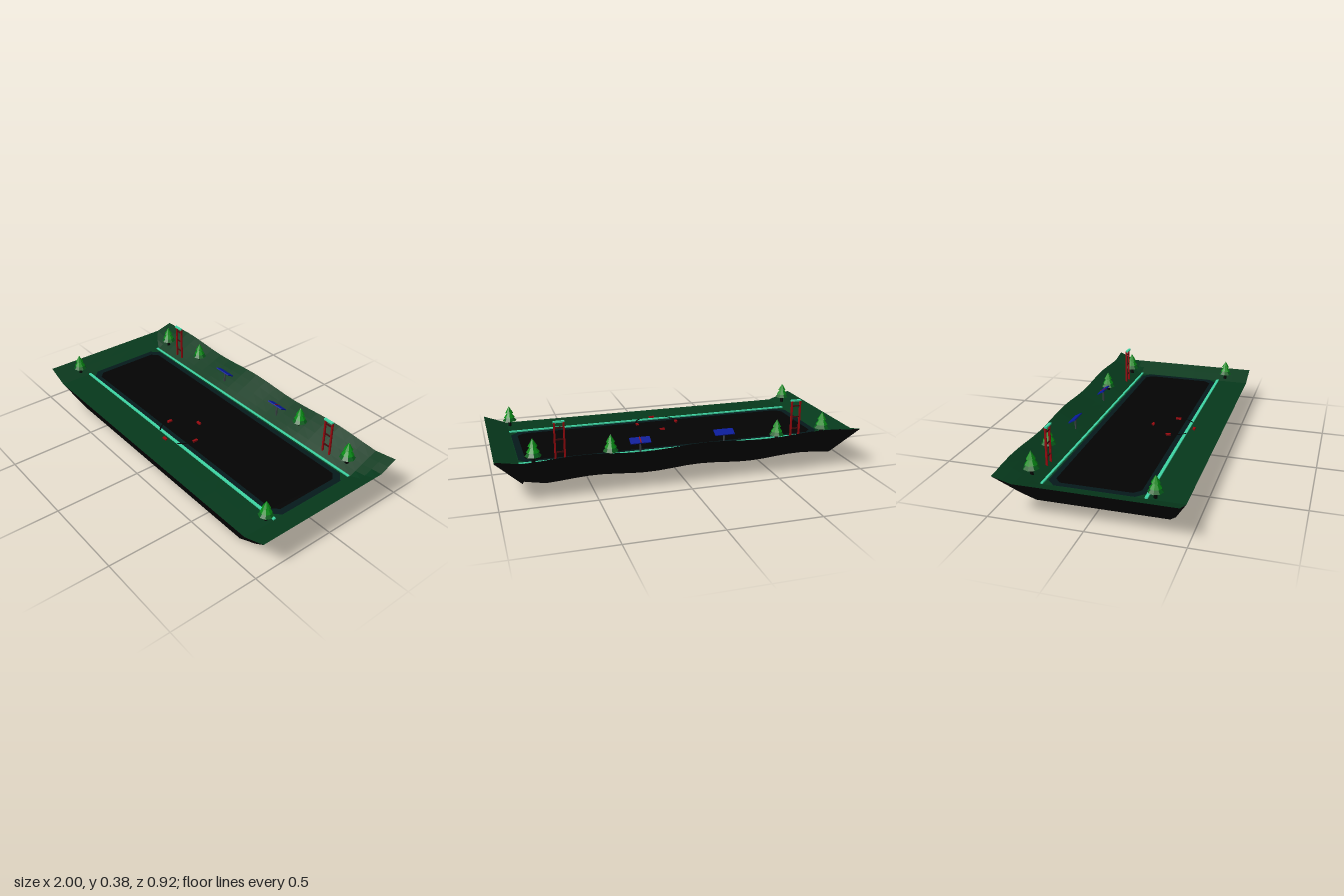
import * as THREE from 'three';

const mat = (name, color, side = THREE.FrontSide) => {
  const m = new THREE.MeshStandardMaterial({ color, side, flatShading: true });
  m.name = name;
  return m;
};

export function createModel() {
  const model = new THREE.Group();
  model.name = 'valleyTile';

  const ground = mat('ground green', 0x06391c, THREE.DoubleSide);
  const groundInside = mat('ground green inside', 0x06391c, THREE.BackSide);
  const black = mat('near black', 0x030303);
  const openBlack = mat('near black open', 0x030303, THREE.DoubleSide);
  const rim = mat('rim slate', 0x05191b, THREE.DoubleSide);
  const teal = mat('light strip teal', 0x3dd6a4);
  const red = mat('signal red', 0x98080e);
  const darkRed = mat('rung dark red', 0x400c0e);
  const blue = mat('panel blue', 0x061a9c);
  const leafDark = mat('lower leaf green', 0x055e1a);
  const leaf = mat('upper leaf green', 0x058a14);
  const grey = mat('post grey', 0x3c4248);

  const add = (parent, name, geo, material, x = 0, y = 0, z = 0) => {
    const mesh = new THREE.Mesh(geo, material);
    mesh.name = name;
    mesh.position.set(x, y, z);
    parent.add(mesh);
    return mesh;
  };
  const group = (name, x, y, z) => {
    const g = new THREE.Group();
    g.name = name;
    g.position.set(x, y, z);
    model.add(g);
    return g;
  };
  const box = (w, h, d) => new THREE.BoxGeometry(w, h, d);
  const fromTriangles = (positions) => {
    const g = new THREE.BufferGeometry();
    g.setAttribute('position', new THREE.Float32BufferAttribute(positions, 3));
    g.computeVertexNormals();
    return g;
  };

  // Ground height: flat valley, raised sides and a wavy ridge at the back
  const LEVEL = 0.147;
  const height = (x, z) => {
    const side = THREE.MathUtils.clamp((Math.abs(x) - 0.87) / 0.13, 0, 1);
    const start = 0.272 + 0.088 * side;
    const back = THREE.MathUtils.clamp((-z - start) / (0.462 - start), 0, 1);
    const wave = 0.008 * Math.cos(9.4 * (x + 0.76)) * (1 - side);
    return LEVEL + 0.05 * side + back * (0.084 - side * (0.046 - 0.01 * x) + wave);
  };

  // Terrain sheet around the rectangular basin
  const xs = [-1, -0.935];
  for (let i = 0; i <= 20; i++) xs.push(-0.87 + i * 0.087);
  xs.push(0.935, 1);
  const zs = [-0.462, -0.41, -0.36, -0.31, -0.272, -0.25, -0.08, 0.09, 0.26, 0.36, 0.462];
  const point = (x, z) => [x, height(x, z), z];
  const land = [];
  for (let i = 0; i < xs.length - 1; i++) {
    for (let j = 0; j < zs.length - 1; j++) {
      const mx = (xs[i] + xs[i + 1]) / 2, mz = (zs[j] + zs[j + 1]) / 2;
      if (Math.abs(mx) < 0.87 && mz > -0.25 && mz < 0.26) continue;
      const a = point(xs[i], zs[j]), b = point(xs[i], zs[j + 1]);
      const c = point(xs[i + 1], zs[j + 1]), d = point(xs[i + 1], zs[j]);
      land.push(...a, ...b, ...c, ...a, ...c, ...d);
    }
  }
  add(model, 'terrain', fromTriangles(land), ground);

  // Skirt: the outer edge drawn inward and down, open underneath
  const xr = [...xs].reverse(), zr = [...zs].reverse();
  const lower = ([x, y, z]) => [x * 0.86, y - LEVEL, z * 0.83];
  const wall = (edge) => {
    const tris = [];
    for (let i = 0; i < edge.length - 1; i++) {
      const a = edge[i], b = edge[i + 1];
      tris.push(...lower(a), ...lower(b), ...b, ...lower(a), ...b, ...a);
    }
    return fromTriangles(tris);
  };
  const front = wall(xs.map((x) => point(x, 0.462)));
  add(model, 'frontSkirt', front, black);
  add(model, 'frontSkirtInside', front, groundInside);
  add(model, 'leftSkirt', wall(zr.map((z) => point(1, z))), openBlack);
  add(model, 'backSkirt', wall(xr.map((x) => point(x, -0.462))), openBlack);
  add(model, 'rightSkirt', wall(zs.map((z) => point(-1, z))), openBlack);

  // Basin: chamfered rim and floor
  const chamfered = (w, d, c, Kind) => new Kind([
    [w - c, -d], [w, c - d], [w, d - c], [w - c, d], [c - w, d], [-w, d - c], [-w, c - d], [c - w, -d],
  ].map(([x, y]) => new THREE.Vector2(x, y)));
  const plate = (name, outer, hole, material) => {
    const shape = chamfered(...outer, THREE.Shape);
    if (hole) shape.holes.push(chamfered(...hole, THREE.Path));
    add(model, name, new THREE.ShapeGeometry(shape).rotateX(-Math.PI / 2), material, 0, LEVEL, 0.005);
  };
  const rimEdge = [0.866, 0.252, 0.045], floorEdge = [0.83, 0.222, 0.035];
  plate('basinCorners', [0.87, 0.255, 0.001], rimEdge, ground);
  plate('basinRim', rimEdge, floorEdge, rim);
  plate('basinFloor', floorEdge, null, openBlack);

  // Light strips along both long sides
  add(model, 'backStrip', box(1.74, 0.01, 0.012), teal, 0, LEVEL + 0.002, -0.262);
  add(model, 'frontStrip', box(1.74, 0.01, 0.016), teal, 0, LEVEL + 0.002, 0.268);

  // Flat landing ring, open at the front, with four red markers
  const pad = group('landingRing', 0, LEVEL, 0.18);
  const arc = new THREE.RingGeometry(0.122, 0.131, 28, 1, -0.86, 4.86).rotateX(-Math.PI / 2);
  add(pad, 'ring', arc, black, 0, 0.0075, 0);
  for (let i = 0; i < 4; i++) {
    const a = i * Math.PI / 2;
    const m = add(pad, 'marker', box(0.03, 0.009, 0.014), red, Math.sin(a) * 0.121, 0.0055, Math.cos(a) * 0.121);
    m.rotation.y = a;
  }

  // Trees: trunk and three tiers
  const trees = [
    [-0.89, 0.32, 0.92], [0.86, 0.32, 0.92], [-0.83, -0.33, 1],
    [0.8, -0.318, 1.03], [-0.535, -0.365, 0.95], [0.403, -0.355, 0.98],
  ];
  trees.forEach(([x, z, s]) => {
    const t = group('tree', x, 0.182, z);
    t.scale.setScalar(s);
    add(t, 'trunk', new THREE.CylinderGeometry(0.009, 0.011, 0.05, 6), black, 0, 0.013, 0);
    [[0.043, 0.05, 0.025, leafDark], [0.034, 0.047, 0.046, leaf], [0.025, 0.043, 0.075, leaf]]
      .forEach(([r, h, y, m]) => add(t, 'foliage', new THREE.ConeGeometry(r, h, 8), m, 0, y + h / 2, 0));
  });

  // Signal towers and tilted panels, one pair on each side
  for (const s of [-1, 1]) {
    const tower = group('signalTower', s * 0.6675 - 0.0075, 0, -0.306);
    for (const x of [-0.025, 0.025]) add(tower, 'post', box(0.009, 0.215, 0.01), red, x, 0.262, 0);
    for (const y of [0.21, 0.278, 0.342]) add(tower, 'rung', box(0.05, 0.007, 0.006), darkRed, 0, y, 0);
    add(tower, 'lampBar', box(0.06, 0.009, 0.014), teal, 0, 0.372, 0.005);

    const solar = group('solarPanel', s * 0.237, 0, -0.33);
    add(solar, 'post', new THREE.CylinderGeometry(0.005, 0.006, 0.08, 6), grey, 0, 0.195, 0);
    const sheet = add(solar, 'panel', box(0.112, 0.006, 0.044), blue, 0, 0.238, 0);
    sheet.rotation.x = -0.5;
    if (s > 0) add(sheet, 'redLine', box(0.006, 0.003, 0.042), red, 0, 0.004, 0);
  }
  return model;
}
